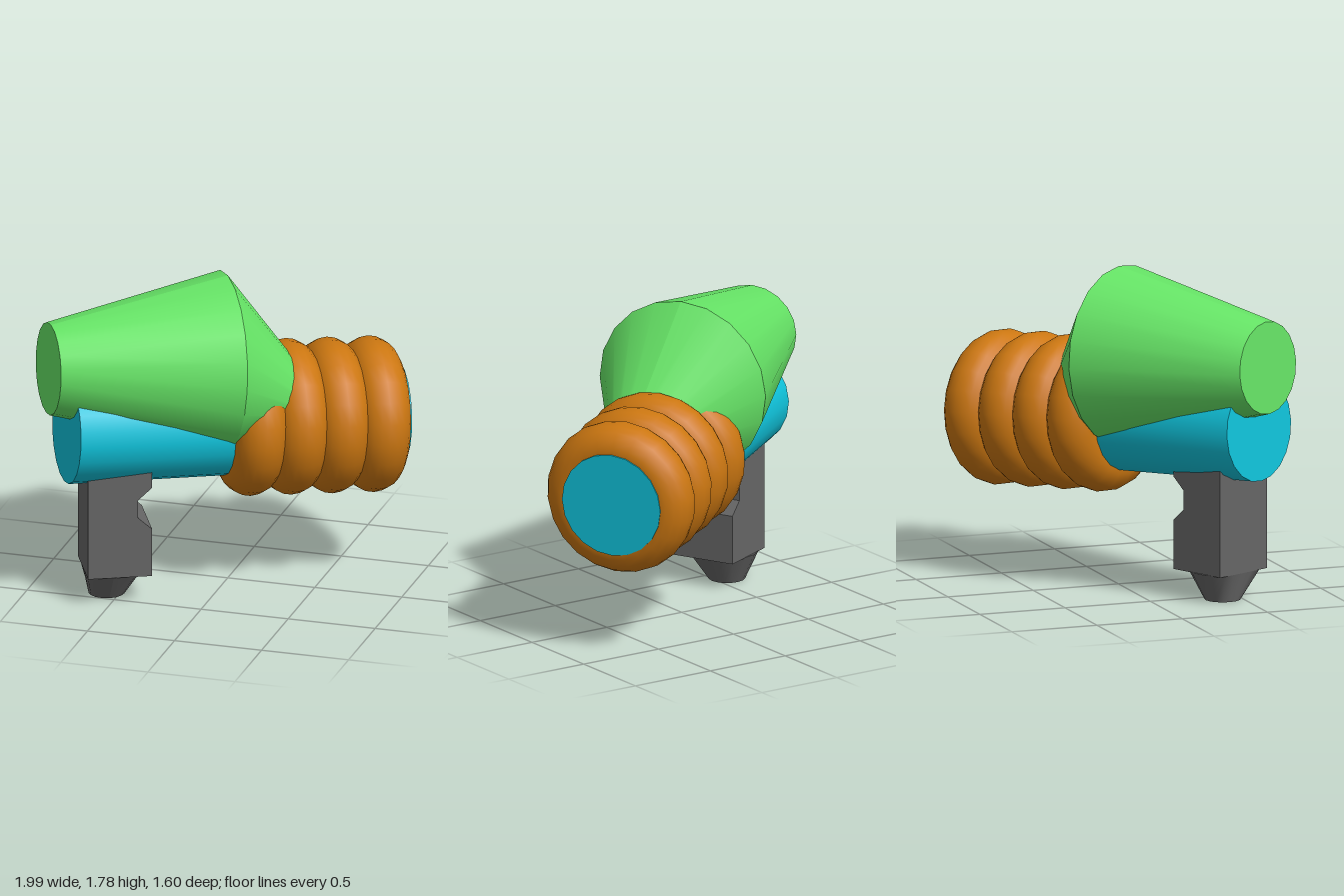
import * as THREE from 'three';

const V = (x, y, z) => new THREE.Vector3(x, y, z);
const paint = (color) => new THREE.MeshStandardMaterial({ color });
const green = paint(0x66e466), blue = paint(0x10c4dc), orange = paint(0xcc7711), grey = paint(0x666666);

function add(parent, name, geometry, material) {
  const mesh = new THREE.Mesh(geometry, material);
  mesh.name = name;
  parent.add(mesh);
  return mesh;
}

// Round section swept from c0 to c1; both end rings lie square to the axis, so it may lean
function slantedCylinder(c0, r0, c1, r1, axis, sides = 20) {
  const geo = new THREE.CylinderGeometry(r1, r0, 1, sides);
  const up = axis.clone().normalize();
  const side = new THREE.Vector3().crossVectors(up, Math.abs(up.y) > 0.9 ? V(0, 0, 1) : V(0, 1, 0)).normalize();
  const third = new THREE.Vector3().crossVectors(side, up);
  const pos = geo.attributes.position;
  for (let i = 0; i < pos.count; i++) {
    const p = c0.clone().lerp(c1, pos.getY(i) + 0.5)
      .addScaledVector(side, pos.getX(i)).addScaledVector(third, pos.getZ(i));
    pos.setXYZ(i, p.x, p.y, p.z);
  }
  geo.computeVertexNormals();
  return geo;
}

export function createModel() {
  const model = new THREE.Group();
  model.name = 'blaster';
  const axis = V(0.842, -0.055, -0.536).normalize();

  // Green upper body: widening cone, then a lean towards the coil axis
  const wide = V(-0.02, 1.29, 0.02), apex = V(0.59, 0.94, -0.195);
  add(model, 'upperCone', slantedCylinder(V(-0.86, 1.34, 0.555), 0.257, wide, 0.495, axis), green);
  add(model, 'upperConeBack',
    slantedCylinder(wide, 0.495, wide.clone().lerp(apex, 0.75), 0.124, axis), green);

  // Blue core running through the coils
  add(model, 'barrel',
    slantedCylinder(V(-0.76, 0.98, 0.54), 0.293, V(0.822, 0.882, -0.507), 0.293, axis), blue);

  // Four overlapping orange rings
  const facing = V(0.85, -0.05, -0.525).normalize();
  const coils = new THREE.Group();
  coils.name = 'coils';
  model.add(coils);
  for (let i = 0; i < 4; i++) {
    const ring = add(coils, 'coil', new THREE.TorusGeometry(0.283, 0.148, 20, 22), orange);
    ring.position.set(0.1 + 0.198 * i, 0.94 - 0.0165 * i, -0.042 - 0.126 * i);
    ring.quaternion.setFromUnitVectors(V(0, 0, 1), facing);
  }

  // Grip: side profile with a finger notch, extruded across its width
  const grip = new THREE.Group();
  grip.name = 'grip';
  grip.position.set(-0.525, 0, 0.4);
  grip.rotation.y = 0.451;
  model.add(grip);
  const half = 0.178, width = 0.371;
  const profile = new THREE.Shape([
    [-half, 0.16], [half, 0.16], [half, 0.435], [0.1, 0.505],
    [0.1, 0.61], [half, 0.68], [half, 0.85], [-half, 0.85],
  ].map(([x, y]) => new THREE.Vector2(x, y)));
  const handle = new THREE.ExtrudeGeometry(profile, { depth: width, bevelEnabled: false });
  handle.translate(0, 0, -width / 2);
  add(grip, 'handle', handle, grey);

  // Tapered foot, cut flush with the front of the handle
  const foot = slantedCylinder(V(-0.043, 0, -0.025), 0.1, V(-0.036, 0.162, -0.006), 0.195, V(0, 1, 0), 16);
  const pos = foot.attributes.position;
  for (let i = 0; i < pos.count; i++) pos.setX(i, Math.max(pos.getX(i), -half));
  foot.computeVertexNormals();
  add(grip, 'foot', foot, grey);

  return model;
}
